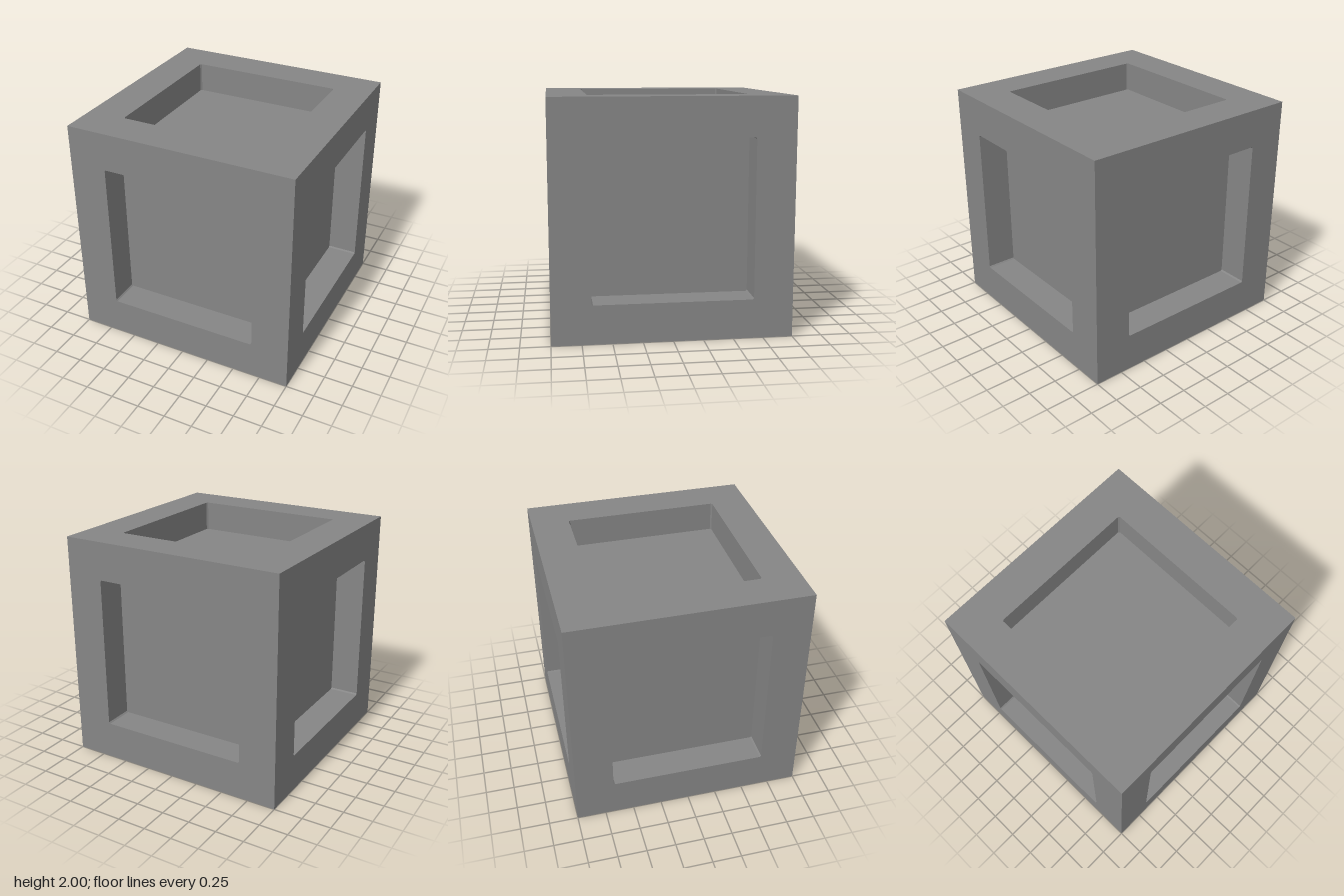
import * as THREE from 'three';
import { mergeGeometries } from 'three/addons/utils/BufferGeometryUtils.js';

const HALF = 1;       // half the cube's edge
const OPEN = 0.67;    // half the recess opening
const CUT = 0.012;    // small corner cut of the opening
const DEPTH = 0.263;  // recess depth

// Outline from [x, y] pairs
const outline = (Type, points) => new Type(points.map(([x, y]) => new THREE.Vector2(x, y)));

// Recess opening: a square with slightly cut corners
const A = OPEN - CUT;
const opening = [[-A, -OPEN], [A, -OPEN], [OPEN, -A], [OPEN, A], [A, OPEN], [-A, OPEN], [-OPEN, A], [-OPEN, -A]];

// Flat square border around the recess, facing +z
function borderGeometry() {
  const shape = outline(THREE.Shape, [[-HALF, -HALF], [HALF, -HALF], [HALF, HALF], [-HALF, HALF]]);
  shape.holes.push(outline(THREE.Path, opening));
  return new THREE.ShapeGeometry(shape).translate(0, 0, HALF);
}

// Four walls and four narrow corner strips leading down into the recess
function wallsGeometry() {
  const walls = [];
  for (let i = 0; i < 8; i++) {
    const corner = i % 2 === 1;
    const length = corner ? CUT * Math.SQRT2 : 2 * A;
    const distance = corner ? (OPEN + A) / Math.SQRT2 : OPEN;
    walls.push(new THREE.PlaneGeometry(length, DEPTH)
      .rotateX(Math.PI / 2)
      .translate(0, distance, HALF - DEPTH / 2)
      .rotateZ(i * Math.PI / 4));
  }
  return mergeGeometries(walls);
}

export function createModel() {
  const model = new THREE.Group();
  model.name = 'recessedCube';
  const material = new THREE.MeshStandardMaterial({ color: 0x868686 });

  const parts = {
    border: borderGeometry(),
    recessWalls: wallsGeometry(),
    recessPanel: new THREE.ShapeGeometry(outline(THREE.Shape, opening)).translate(0, 0, HALF - DEPTH),
  };

  // The same side turned to all six directions
  const q = Math.PI / 2;
  const sides = {
    front: [0, 0], left: [0, q], back: [0, 2 * q], right: [0, -q], top: [-q, 0], bottom: [q, 0],
  };
  for (const [name, [rx, ry]] of Object.entries(sides)) {
    const side = new THREE.Group();
    side.name = name + 'Side';
    for (const [part, geometry] of Object.entries(parts)) {
      const mesh = new THREE.Mesh(geometry, material);
      mesh.name = part;
      side.add(mesh);
    }
    side.rotation.set(rx, ry, 0);
    side.position.y = HALF;
    model.add(side);
  }
  return model;
}
